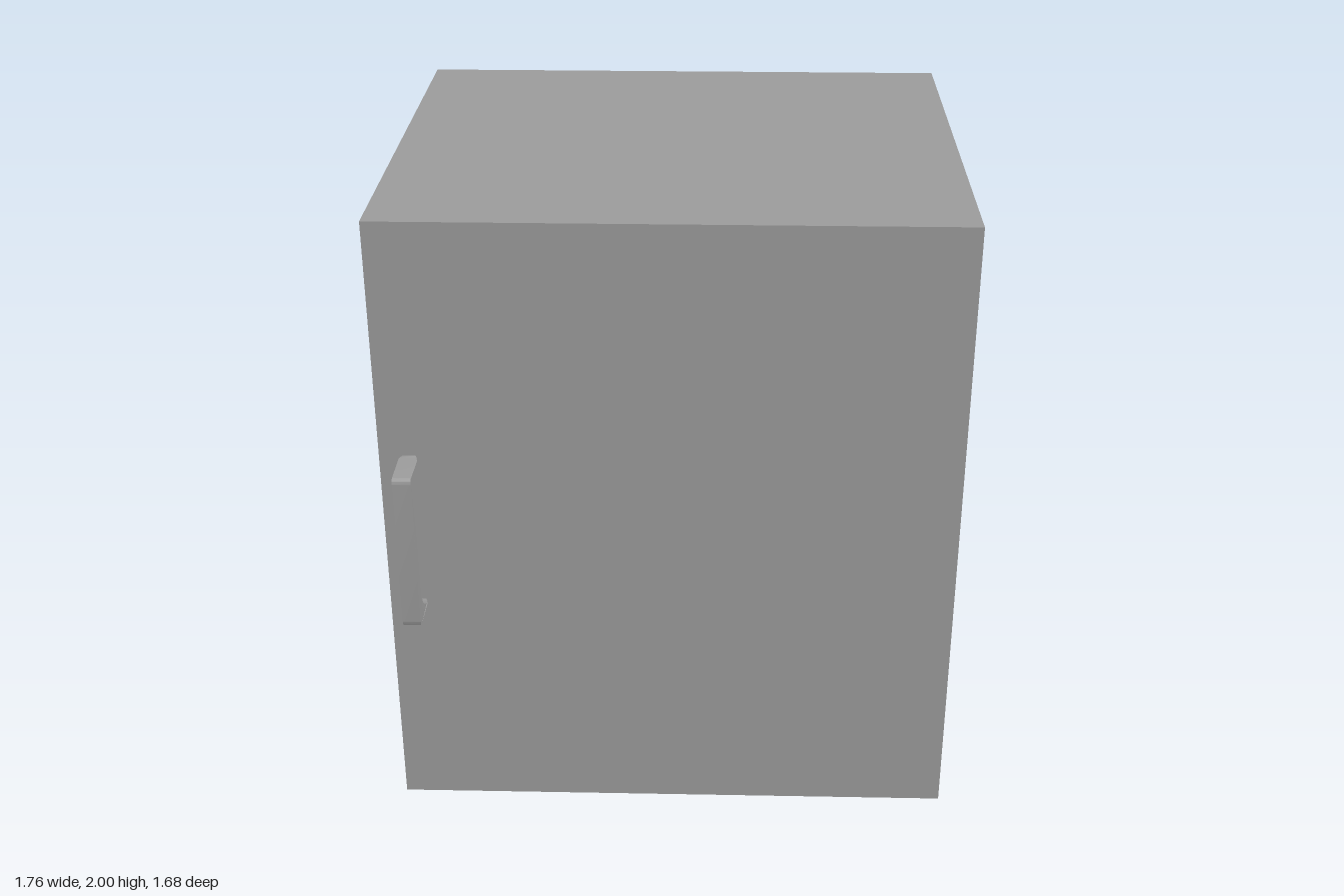
import * as THREE from 'three';
import { toCreasedNormals } from 'three/addons/utils/BufferGeometryUtils.js';

export function createModel() {
  const group = new THREE.Group();
  const material = new THREE.MeshStandardMaterial({ color: 0x9b9b9b });

  // Cabinet body
  const body = new THREE.Mesh(new THREE.BoxGeometry(1.756, 2, 1.532), material);
  body.name = 'cabinetBody';
  body.position.set(0, 1, -0.076);
  group.add(body);

  // Pull handle: side profile with x as depth (z) and y as height
  const back = 0.69, front = 0.842, inner = 0.8;
  const bottom = 0.745, top = 1.255, r = 0.018, tip = 0.004;
  const shoulder = back + 0.02;
  const profile = new THREE.Shape();
  profile.moveTo(back, bottom);
  profile.lineTo(shoulder, bottom);
  profile.lineTo(front - r, bottom);
  profile.quadraticCurveTo(front, bottom, front, bottom + r);
  profile.lineTo(front, top - r);
  profile.quadraticCurveTo(front, top, front - r, top);
  profile.lineTo(shoulder, top);
  profile.lineTo(back, top);
  profile.lineTo(back, top - tip);
  profile.bezierCurveTo(0.755, top - 0.012, inner, top - 0.05, inner, top - 0.105);
  profile.lineTo(inner, bottom + 0.105);
  profile.bezierCurveTo(inner, bottom + 0.05, 0.755, bottom + 0.012, back, bottom + tip);
  profile.closePath();

  const width = 0.055;
  const handleGeometry = new THREE.ExtrudeGeometry(profile, {
    depth: width, bevelEnabled: false, curveSegments: 10,
  });

  // Narrow the feet where they meet the door
  const points = handleGeometry.attributes.position;
  for (let i = 0; i < points.count; i++) {
    const near = Math.max(0, (shoulder - points.getX(i)) / (shoulder - back));
    const side = points.getZ(i) - width / 2;
    points.setZ(i, width / 2 + side * (1 - 0.25 * near));
  }
  handleGeometry.computeVertexNormals();

  const handle = new THREE.Mesh(toCreasedNormals(handleGeometry, 0.6), material);
  handle.name = 'doorHandle';
  handle.rotation.y = -Math.PI / 2;
  handle.position.x = -0.76;
  group.add(handle);

  return group;
}
